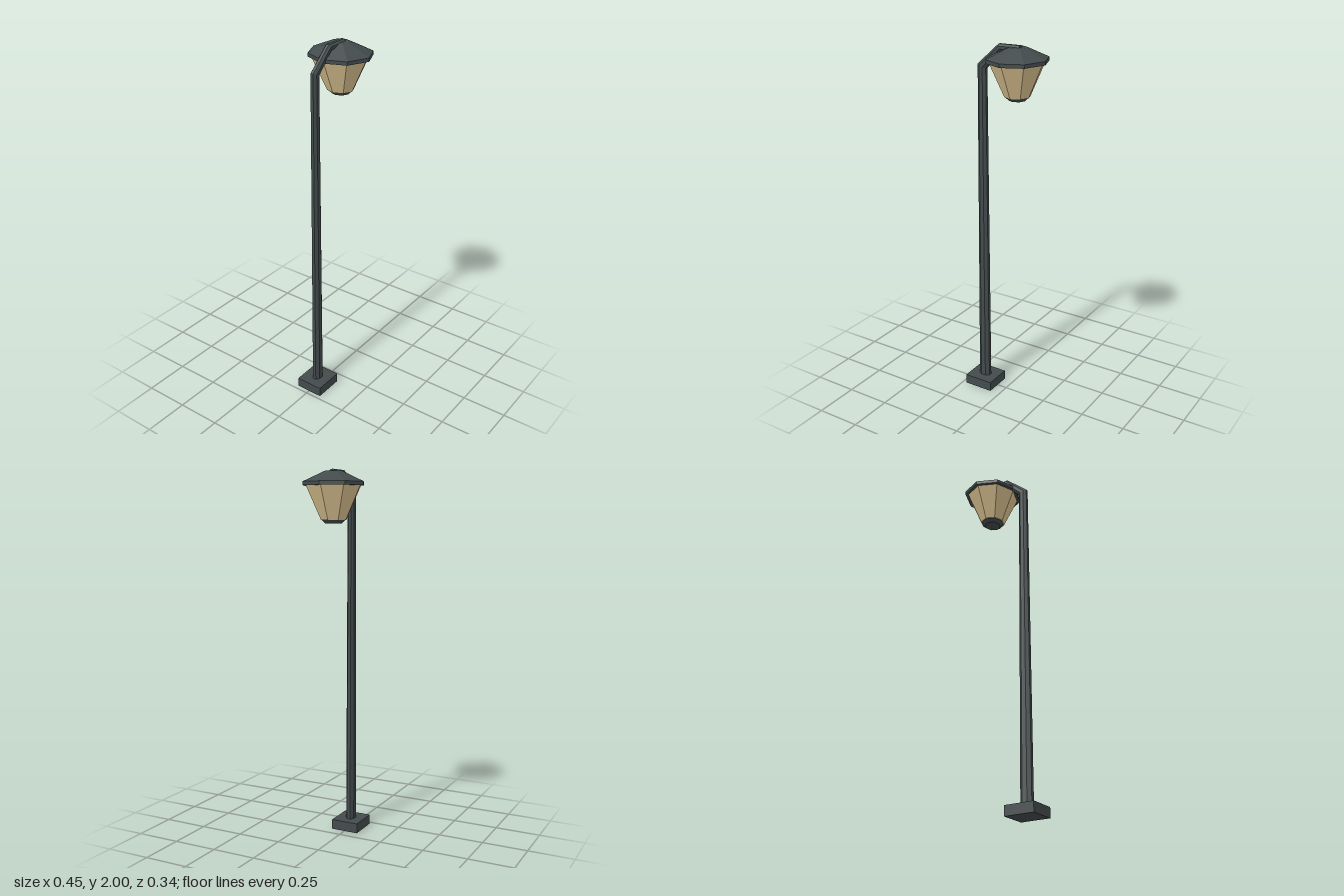
import * as THREE from 'three';

const SIDES = 8;

// Octagonal sweep: each ring is [outerX, outerY, innerX, innerY, halfDepth]
function loftOctagon(rings) {
  const pos = [], idx = [], k = 1 / Math.cos(Math.PI / SIDES);
  for (const [ox, oy, ix, iy, d] of rings) {
    for (let j = 0; j < SIDES; j++) {
      const t = ((j + 0.5) / SIDES) * Math.PI * 2;
      const c = Math.cos(t) * k, s = Math.sin(t) * k;
      pos.push((ox + ix) / 2 + ((ix - ox) / 2) * c, (oy + iy) / 2 + ((iy - oy) / 2) * c, d * s);
    }
  }
  const last = (rings.length - 1) * SIDES;
  for (let i = 0; i < last; i += SIDES) {
    for (let j = 0; j < SIDES; j++) {
      const a = i + j, b = i + ((j + 1) % SIDES);
      idx.push(a, a + SIDES, b, b, a + SIDES, b + SIDES);
    }
  }
  for (let j = 1; j < SIDES - 1; j++) {
    idx.push(0, j, j + 1, last, last + j + 1, last + j);
  }
  const geo = new THREE.BufferGeometry();
  geo.setAttribute('position', new THREE.Float32BufferAttribute(pos, 3));
  geo.setIndex(idx);
  geo.computeVertexNormals();
  return geo;
}

export function createModel() {
  const model = new THREE.Group();
  model.name = 'streetLamp';
  const metal = new THREE.MeshStandardMaterial({ color: 0x434b4c, flatShading: true });
  const glass = new THREE.MeshStandardMaterial({ color: 0xdcc391, flatShading: true });

  const add = (parent, name, geometry, material, y = 0) => {
    const mesh = new THREE.Mesh(geometry, material);
    mesh.name = name;
    mesh.position.y = y;
    parent.add(mesh);
    return mesh;
  };

  // Foot plate
  add(model, 'base', new THREE.BoxGeometry(0.168, 0.055, 0.156), metal, 0.0275).position.x = -0.143;

  // Tapered pole bending over into the arm
  add(model, 'poleAndArm', loftOctagon([
    [-0.176, 0.05, -0.11, 0.05, 0.024],
    [-0.167, 1.885, -0.118, 1.865, 0.019],
    [-0.04, 1.998, -0.025, 1.963, 0.018],
    [0.085, 2.0, 0.085, 1.965, 0.018],
  ]), metal);

  // Eight-sided lantern, slightly deeper than it is wide
  const lantern = new THREE.Group();
  lantern.name = 'lantern';
  lantern.position.x = 0.068;
  lantern.scale.x = 0.925;
  model.add(lantern);

  const tier = (name, rTop, rBottom, y0, y1, material) =>
    add(lantern, name, new THREE.CylinderGeometry(rTop, rBottom, y1 - y0, SIDES), material, (y0 + y1) / 2);

  tier('hoodRoof', 0.049, 0.171, 1.936, 1.99, metal);
  tier('hoodRim', 0.171, 0.171, 1.917, 1.936, metal);
  tier('glassShade', 0.153, 0.071, 1.742, 1.917, glass);
  tier('bottomCap', 0.066, 0.047, 1.724, 1.742, metal);

  return model;
}
